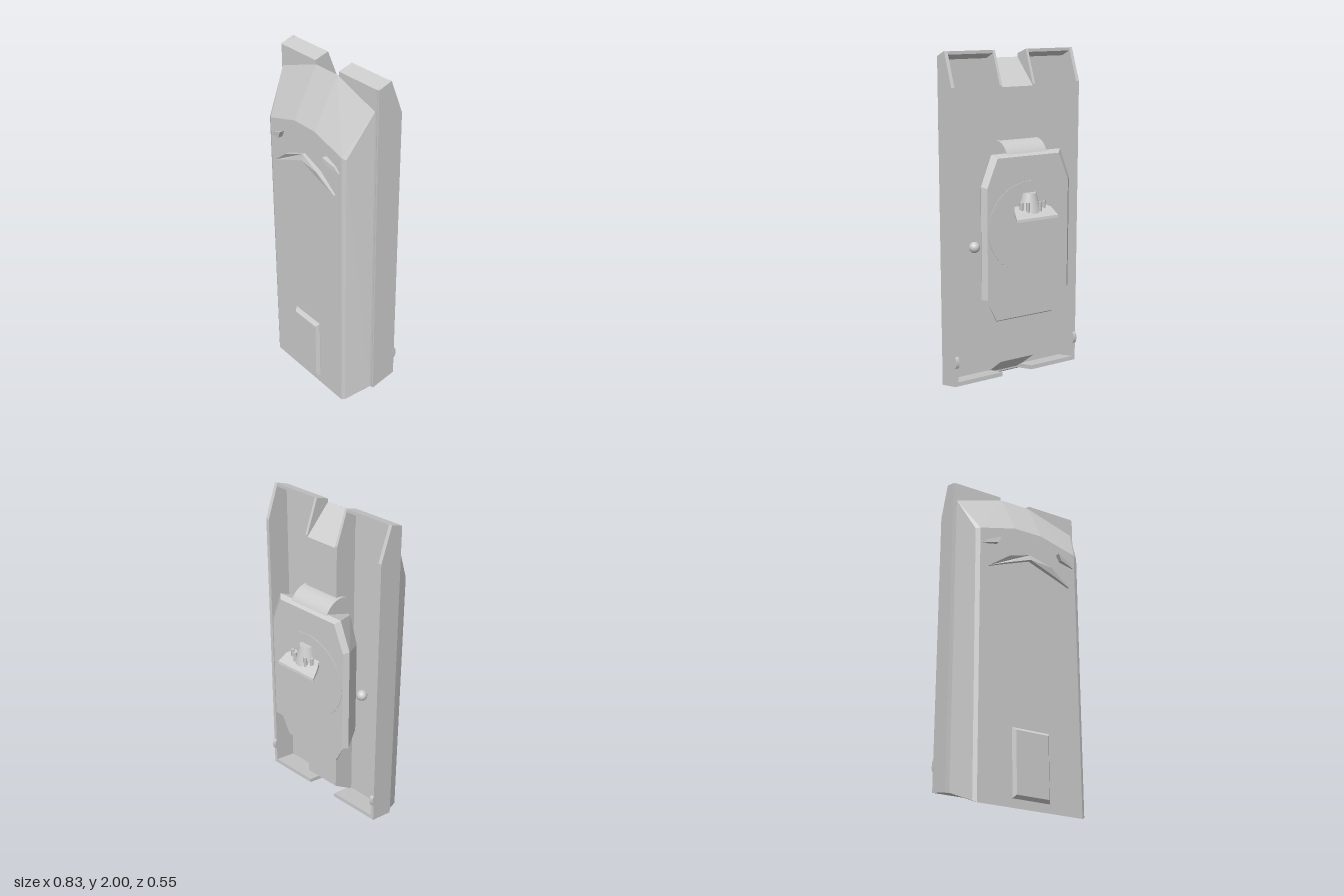
import * as THREE from 'three';
import { ConvexGeometry } from 'three/addons/geometries/ConvexGeometry.js';

export function createModel() {
  const model = new THREE.Group();
  const grey = new THREE.MeshStandardMaterial({ color: 0xcccccc });
  grey.name = 'plainGrey';

  const add = (name, geometry, parent = model) => {
    const mesh = new THREE.Mesh(geometry, grey);
    mesh.name = name;
    parent.add(mesh);
    return mesh;
  };
  const toShape = (pts) => new THREE.Shape(pts.map(([a, b]) => new THREE.Vector2(a, b)));
  // Side profile given as [z, y], extruded from x0 to x1
  const profile = (name, pts, x0, x1) => {
    const g = new THREE.ExtrudeGeometry(toShape(pts), { depth: x1 - x0, bevelEnabled: false });
    g.rotateY(-Math.PI / 2).translate(x1, 0, 0);
    return add(name, g);
  };
  // Faceted solid from half of its corners, mirrored across x = 0
  const solid = (name, pts) => add(name, new ConvexGeometry(
    pts.flatMap(([x, y, z]) => [new THREE.Vector3(x, y, z), new THREE.Vector3(-x, y, z)])));

  // Faceted front body with sloping brow
  solid('frontBody', [
    [0.315, 0.005, 0.247], [0.315, 1.607, 0.247], [0.09, 1.67, 0.247],
    [0.335, 0.015, 0.235], [0.34, 1.6, 0.235],
    [0.395, 0.08, 0.097], [0.395, 1.85, 0.097], [0.09, 1.95, 0.097],
  ]);

  // Hollow back frame, one half on each side
  const shell = [[0.095, 0.08], [0.095, 1.97], [0.01, 1.998], [0.01, 1.98], [0.078, 1.95],
    [0.078, 0.11], [-0.065, 0.145], [-0.065, 0.12]];
  const wall = [[0.09, 0.08], [0.09, 1.97], [0.01, 2.0], [-0.065, 1.81], [-0.065, 0.12]];
  const cheek = [[0.095, 1.9], [0.095, 1.97], [0.01, 1.998], [-0.065, 1.81], [-0.065, 1.78]];
  for (const s of [-1, 1]) {
    const span = (a, b) => (s > 0 ? [a, b] : [-b, -a]);
    profile('backShell', shell, ...span(0.1, 0.405));
    profile('sideWall', wall, ...span(0.395, 0.415));
    profile('notchCheek', cheek, ...span(0.1, 0.115));

    // Small bump on the rear edge of the wall
    const bump = new THREE.CylinderGeometry(0.035, 0.035, 0.022, 14);
    bump.rotateZ(Math.PI / 2).scale(1, 1, 0.4).translate(s * 0.405, 0.265, -0.065);
    add('wallBump', bump);

    // Round knob beside the rear pack
    const knob = new THREE.SphereGeometry(0.032, 16, 12);
    knob.translate(s * 0.24, 0.9, 0.01);
    add('sideKnob', knob);
  }

  // Central spine with ramps at both ends
  profile('spine', [[0.096, 1.95], [-0.065, 1.8], [-0.065, 0.21], [0.096, 0.09]], -0.112, 0.112);

  // Raised panel low on the front
  const y0 = 0.055, y1 = 0.44;
  solid('lowerPanel', [
    [0.113, y0, 0.24], [0.113, y1, 0.24], [0.113, y0, 0.25], [0.113, y1, 0.25],
    [0.098, y0 + 0.015, 0.27], [0.098, y1 - 0.018, 0.27],
  ]);

  // Raised face details, front surface sloped by a rule
  const relief = (name, pts, frontZ) => {
    const g = new THREE.ExtrudeGeometry(toShape(pts), { depth: 1, bevelEnabled: false });
    const p = g.attributes.position;
    for (let i = 0; i < p.count; i++) {
      p.setZ(i, p.getZ(i) > 0.5 ? frontZ(Math.abs(p.getX(i)), p.getY(i)) : 0.24);
    }
    g.computeVertexNormals();
    add(name, g);
  };
  const eye = [[0.3, 1.51], [0.27, 1.54], [0.19, 1.57], [0.21, 1.53]];
  for (const s of [-1, 1]) {
    relief('eye', eye.map(([x, y]) => [s * x, y]), (x) => 0.276 - 0.2 * (x - 0.19));
  }
  const brow = [[0, 1.51], [0.14, 1.46], [0.265, 1.37], [0.18, 1.405], [0, 1.475],
    [-0.18, 1.405], [-0.265, 1.37], [-0.14, 1.46]];
  relief('chevron', brow, (x, y) => 0.278 - 0.25 * Math.abs(y - 1.45));

  // Rear pack, widening toward the back
  solid('rearPack', [
    [0.2, 1.43, -0.181], [0.265, 1.27, -0.181], [0.265, 0.64, -0.181],
    [0.225, 1.45, -0.155], [0.29, 1.28, -0.155], [0.29, 0.64, -0.155],
    [0.15, 1.39, 0.005], [0.2, 1.22, 0.005], [0.2, 0.64, 0.005],
  ]);
  solid('packSkirt', [
    [0.25, 0.65, -0.15], [0.25, 0.62, -0.15], [0.19, 0.5, -0.15], [0.185, 0.49, -0.135],
    [0.17, 0.65, 0.0], [0.14, 0.52, 0.0],
  ]);

  // Rounded hood on top of the pack
  const hood = new THREE.CylinderGeometry(0.115, 0.115, 0.26, 32);
  hood.rotateZ(Math.PI / 2).translate(0, 1.394, -0.06);
  add('packHood', hood);

  // Thin round cover on the pack
  const disc = new THREE.CylinderGeometry(0.26, 0.26, 0.006, 48);
  disc.rotateX(Math.PI / 2).translate(0, 1.03, -0.181);
  add('roundCover', disc);

  // Flared bracket with a domed boss and four bolts
  solid('bracketFlange', [
    [0.09, 1.155, -0.18], [0.09, 1.12, -0.18], [0.12, 1.14, -0.225], [0.12, 1.115, -0.225],
    [0.135, 1.1, -0.275], [0.135, 1.085, -0.278],
  ]);
  const boss = new THREE.CylinderGeometry(0.04, 0.07, 0.11, 24);
  boss.translate(0, 1.17, -0.185);
  add('bracketBoss', boss);
  for (const [x, z] of [[0.04, -0.237], [0.073, -0.222]]) {
    for (const s of [-1, 1]) {
      const bolt = new THREE.CylinderGeometry(0.01, 0.01, 0.06, 6);
      bolt.translate(s * x, 1.15, z);
      add('bracketBolt', bolt);
    }
  }
  return model;
}
